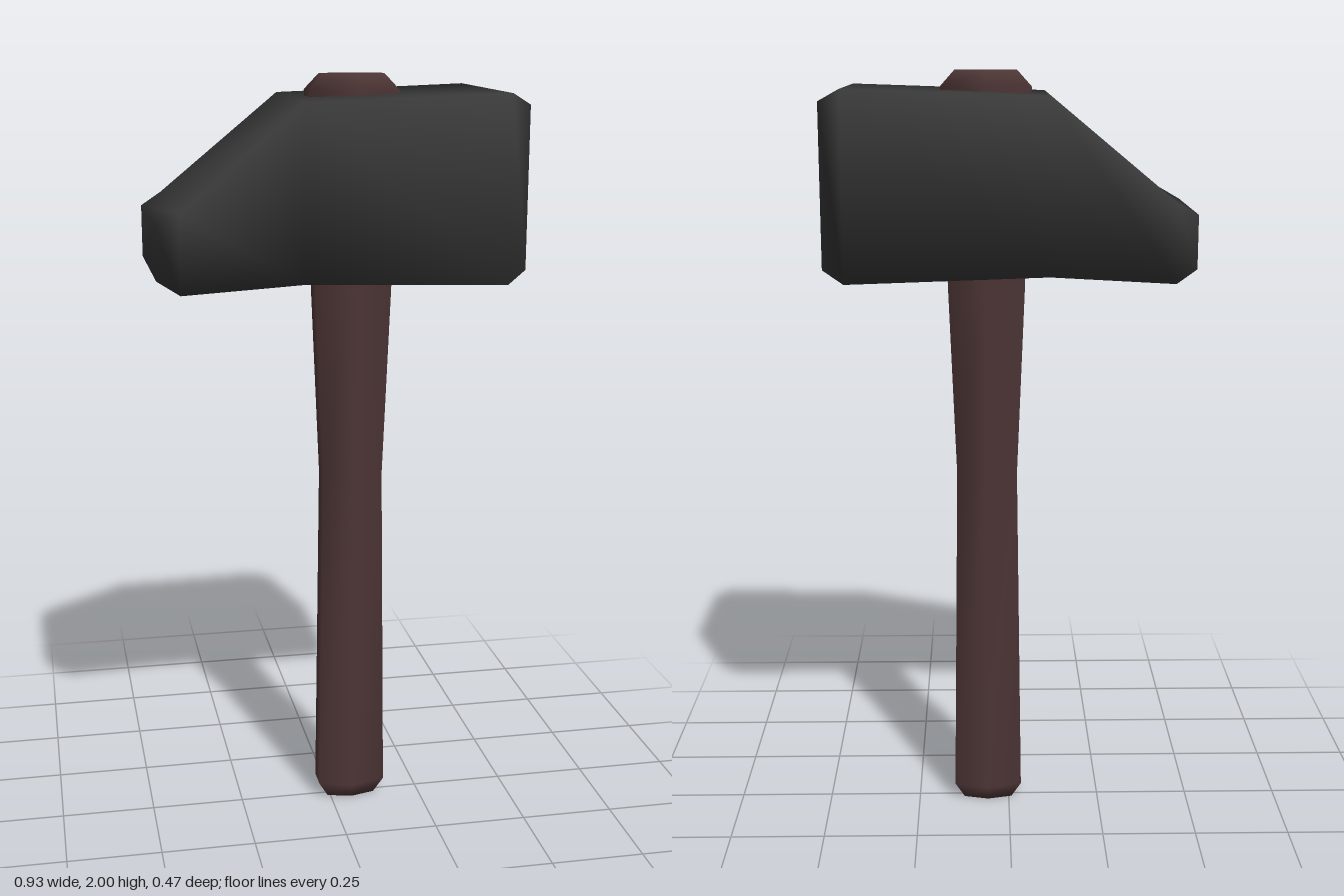
import * as THREE from 'three';

// Smooth loft through rings of equal length, each counter-clockwise seen from the end of the axis.
function loft(rings) {
  const n = rings[0].length;
  const index = [];
  for (let i = 0; i < rings.length - 1; i++) {
    for (let j = 0; j < n; j++) {
      const a = i * n + j, b = i * n + ((j + 1) % n);
      index.push(a, b, b + n, a, b + n, a + n);
    }
  }
  const last = (rings.length - 1) * n;
  for (let j = 1; j < n - 1; j++) {
    index.push(0, j + 1, j, last, last + j, last + j + 1);
  }
  const geometry = new THREE.BufferGeometry();
  geometry.setAttribute('position', new THREE.Float32BufferAttribute(rings.flat(2), 3));
  geometry.setIndex(index);
  geometry.computeVertexNormals();
  return geometry;
}

export function createModel() {
  const group = new THREE.Group();
  const iron = new THREE.MeshStandardMaterial({ color: 0x383838 });
  iron.name = 'dark iron';
  const wood = new THREE.MeshStandardMaterial({ color: 0x4d3535 });
  wood.name = 'dark wood';

  // Head: rectangular sections [x, bottom, top, half depth] from wedge to striking face
  const headSections = [
    [-0.467, 1.52, 1.655, 0.205],
    [-0.412, 1.488, 1.686, 0.237],
    [-0.1, 1.503, 1.943, 0.221],
    [0.412, 1.488, 1.96, 0.237],
    [0.467, 1.52, 1.93, 0.205],
  ];
  const head = new THREE.Mesh(loft(headSections.map(([x, lo, hi, d]) => [
    [x, lo, -d], [x, hi, -d], [x, hi, d], [x, lo, d],
  ])), iron);
  head.name = 'hammerHead';
  group.add(head);

  // Handle: hexagonal sections [y, half width, half depth] from butt to tip
  const handleSections = [
    [0, 0.066, 0.036],
    [0.045, 0.092, 0.061],
    [0.95, 0.08, 0.06],
    [1.45, 0.1, 0.068],
    [1.96, 0.116, 0.077],
    [2, 0.08, 0.05],
  ];
  const cx = 0.058;
  const handle = new THREE.Mesh(loft(handleSections.map(([y, w, d]) => [
    [cx, y, d], [cx + w, y, d * 0.52], [cx + w, y, -d * 0.52],
    [cx, y, -d], [cx - w, y, -d * 0.52], [cx - w, y, d * 0.52],
  ])), wood);
  handle.name = 'handle';
  group.add(handle);

  return group;
}
